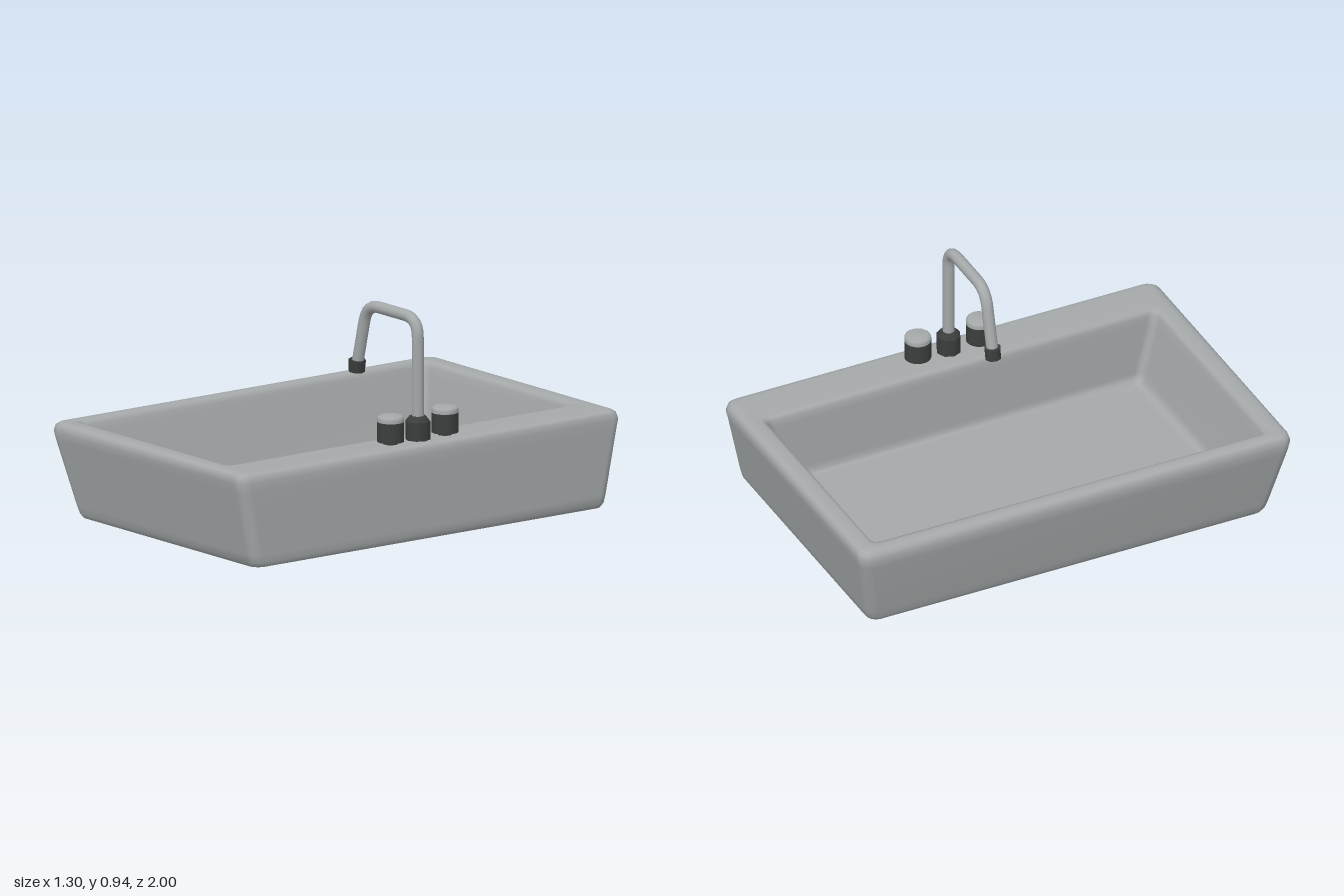
import * as THREE from 'three';

const ceramic = new THREE.MeshStandardMaterial({ color: 0xa5a9a9 });
ceramic.name = 'pale grey';
const dark = new THREE.MeshStandardMaterial({ color: 0x3c3e3e });
dark.name = 'dark grey';

const v = (x, y) => new THREE.Vector3(x, y, 0);

function add(group, name, geometry, material, x = 0, y = 0, z = 0) {
  const mesh = new THREE.Mesh(geometry, material);
  mesh.name = name;
  mesh.position.set(x, y, z);
  group.add(mesh);
  return mesh;
}

// Skin over rounded-rectangle rings [y, xMin, xMax, halfDepth, cornerRadius], capped at both ends
function ringSkin(rings, steps = 4) {
  const positions = [], index = [], n = 4 * (steps + 1);
  for (const [y, x0, x1, hz, r] of rings) {
    for (let q = 0; q < 4; q++) {
      const cx = q === 0 || q === 3 ? x1 - r : x0 + r;
      const cz = q < 2 ? hz - r : r - hz;
      for (let s = 0; s <= steps; s++) {
        const a = (q + s / steps) * Math.PI / 2;
        positions.push(cx + r * Math.cos(a), y, cz + r * Math.sin(a));
      }
    }
  }
  for (let i = 0; i < rings.length - 1; i++) {
    for (let j = 0; j < n; j++) {
      const k = (j + 1) % n, a = i * n, b = a + n;
      index.push(a + j, b + j, a + k, b + j, b + k, a + k);
    }
  }
  const last = (rings.length - 1) * n;
  for (let j = 1; j < n - 1; j++) {
    index.push(0, j, j + 1, last, last + j + 1, last + j);
  }
  const geometry = new THREE.BufferGeometry();
  geometry.setAttribute('position', new THREE.Float32BufferAttribute(positions, 3));
  geometry.setIndex(index);
  geometry.computeVertexNormals();
  return geometry;
}

export function createModel() {
  const model = new THREE.Group();
  model.name = 'sink';

  // Basin: outside wall, rolled rim, inside wall, floor
  add(model, 'basin', ringSkin([
    [0, -0.545, 0.615, 0.893, 0.04],
    [0.006, -0.561, 0.635, 0.912, 0.045],
    [0.025, -0.572, 0.645, 0.925, 0.05],
    [0.06, -0.582, 0.647, 0.934, 0.05],
    [0.33, -0.647, 0.647, 0.99, 0.05],
    [0.37, -0.65, 0.647, 1, 0.05],
    [0.395, -0.645, 0.641, 0.994, 0.05],
    [0.405, -0.632, 0.63, 0.982, 0.045],
    [0.409, -0.61, 0.61, 0.96, 0.04],
    [0.409, -0.59, 0.46, 0.925, 0.04],
    [0.403, -0.574, 0.444, 0.908, 0.035],
    [0.385, -0.564, 0.436, 0.9, 0.035],
    [0.35, -0.556, 0.435, 0.892, 0.035],
    [0.12, -0.493, 0.433, 0.837, 0.035],
    [0.09, -0.482, 0.43, 0.827, 0.035],
    [0.08, -0.465, 0.415, 0.81, 0.03],
  ]), ceramic);

  // Faucet: upright, bend, level run, bend, slanted spout
  const faucet = new THREE.Group();
  faucet.name = 'faucet';
  model.add(faucet);
  const path = new THREE.CurvePath();
  path.add(new THREE.LineCurve3(v(0.55, 0.42), v(0.55, 0.84)));
  path.add(new THREE.QuadraticBezierCurve3(v(0.55, 0.84), v(0.55, 0.92), v(0.47, 0.92)));
  path.add(new THREE.LineCurve3(v(0.47, 0.92), v(0.285, 0.92)));
  path.add(new THREE.QuadraticBezierCurve3(v(0.285, 0.92), v(0.21, 0.92), v(0.19, 0.845)));
  path.add(new THREE.LineCurve3(v(0.19, 0.845), v(0.143, 0.655)));
  add(faucet, 'spoutPipe', new THREE.TubeGeometry(path, 48, 0.025, 12), ceramic);
  add(faucet, 'spoutTip', new THREE.CylinderGeometry(0.036, 0.034, 0.052, 8).toNonIndexed(), dark,
    0.14, 0.647, 0).rotation.z = -0.1;
  add(faucet, 'faucetBase', new THREE.CylinderGeometry(0.052, 0.052, 0.08, 8), dark, 0.55, 0.447, 0);
  add(faucet, 'faucetCollar', new THREE.CylinderGeometry(0.034, 0.052, 0.022, 8), dark, 0.55, 0.498, 0);

  // Knobs on either side: stem, grip and rounded cap
  const capProfile = [[0.056, 0], [0.056, 0.014], [0.053, 0.021], [0.045, 0.026], [0, 0.028]]
    .map(([x, y]) => new THREE.Vector2(x, y));
  for (const side of [-1, 1]) {
    const knob = new THREE.Group();
    knob.name = side > 0 ? 'frontKnob' : 'backKnob';
    knob.position.set(0.55, 0, side * 0.142);
    add(knob, 'knobStem', new THREE.CylinderGeometry(0.03, 0.03, 0.02, 16), dark, 0, 0.412, 0);
    add(knob, 'knobGrip', new THREE.CylinderGeometry(0.056, 0.056, 0.084, 24), dark, 0, 0.462, 0);
    add(knob, 'knobCap', new THREE.LatheGeometry(capProfile, 24), ceramic, 0, 0.504, 0);
    model.add(knob);
  }
  return model;
}
